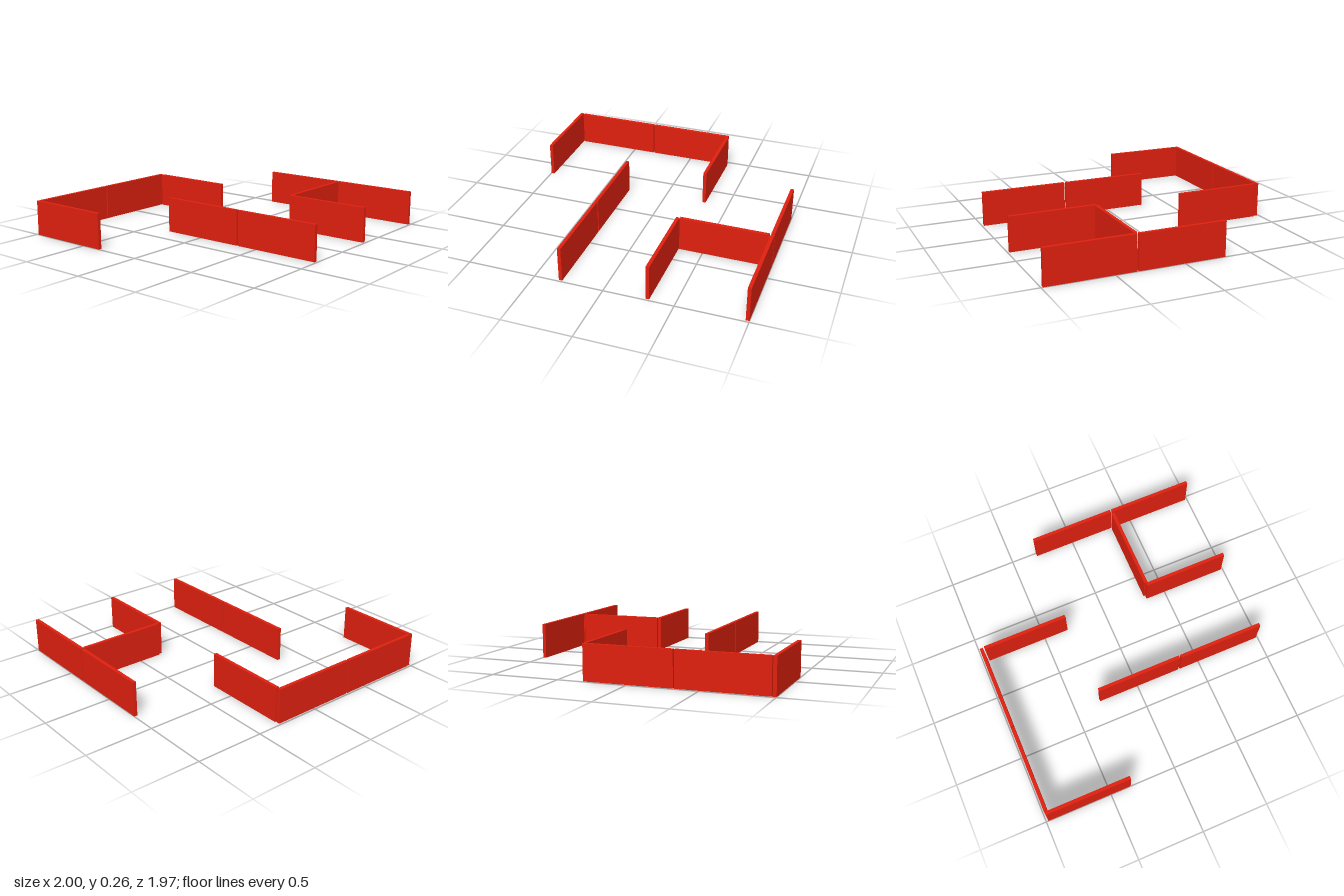
import * as THREE from 'three';

const LENGTH = 0.638, HEIGHT = 0.256, THICK = 0.025;

export function createModel() {
  const model = new THREE.Group();
  model.name = 'mazeWalls';
  const red = new THREE.MeshStandardMaterial({ color: 0xe0200f });
  const panel = new THREE.BoxGeometry(LENGTH, HEIGHT, THICK);

  const addWall = (name, x, z, alongZ) => {
    const wall = new THREE.Mesh(panel, red);
    wall.name = name;
    wall.position.set(x, HEIGHT / 2, z);
    if (alongZ) wall.rotation.y = Math.PI / 2;
    model.add(wall);
  };

  // Back enclosure: two walls across, one side wall at each end
  addWall('backWallRight', -0.65, -0.974, false);
  addWall('backWallLeft', -0.002, -0.974, false);
  addWall('backSideWallRight', -0.987, -0.665, true);
  addWall('backSideWallLeft', 0.311, -0.633, true);

  // Two long walls, each made of a middle and a front panel
  for (const [side, x] of [['Right', -0.313], ['Left', 0.987]]) {
    addWall('middleWall' + side, x, 0.016, true);
    addWall('frontWall' + side, x, 0.667, true);
  }

  // Front alcove: a cross wall and its inner side
  addWall('alcoveCrossWall', 0.646, 0.348, false);
  addWall('alcoveSideWall', 0.311, 0.667, true);

  return model;
}
